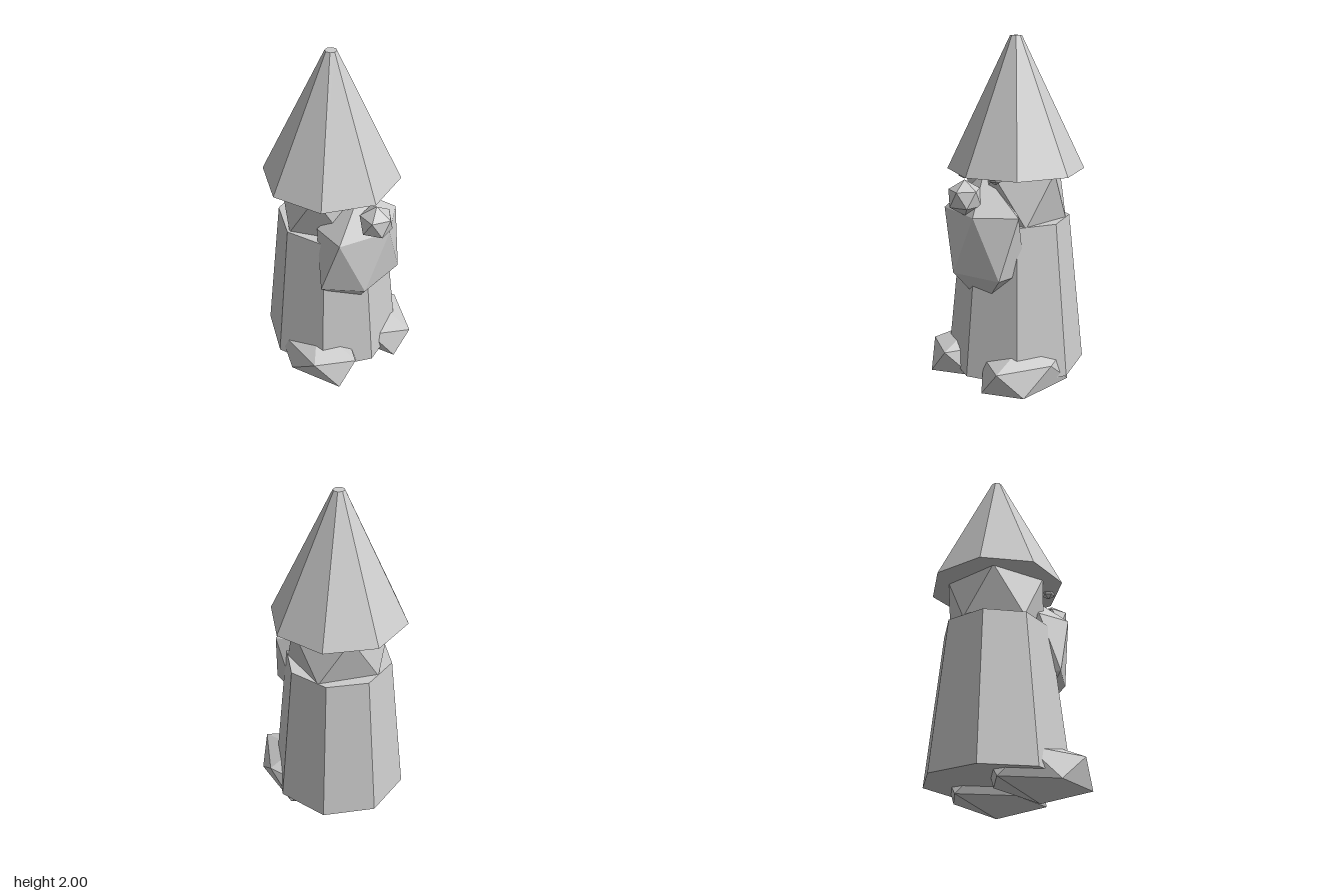
import * as THREE from 'three';

const stone = new THREE.MeshStandardMaterial({ color: 0xcccccc, flatShading: true });
stone.name = 'plain grey';

// Unit icosahedron standing on a point: two staggered rings of five between poles
function uprightIcosahedron() {
  const v = [0, 1, 0];
  const f = [];
  const ry = 1 / Math.sqrt(5), rr = 2 / Math.sqrt(5);
  for (const [y, offset] of [[ry, 0], [-ry, 0.5]]) {
    for (let k = 0; k < 5; k++) {
      const a = ((k + offset) * 2 * Math.PI) / 5;
      v.push(rr * Math.cos(a), y, rr * Math.sin(a));
    }
  }
  v.push(0, -1, 0);
  for (let k = 0; k < 5; k++) {
    const n = (k + 1) % 5;
    const u0 = 1 + k, u1 = 1 + n, l0 = 6 + k, l1 = 6 + n;
    f.push(0, u1, u0, u0, u1, l0, l0, u1, l1, 11, l0, l1);
  }
  return new THREE.PolyhedronGeometry(v, f, 1, 0);
}

export function createModel() {
  const model = new THREE.Group();
  model.name = 'gnome';

  function add(name, geometry, x, y, z) {
    const mesh = new THREE.Mesh(geometry, stone);
    mesh.name = name;
    mesh.position.set(x, y, z);
    model.add(mesh);
  }
  const lump = (name, pos, size) =>
    add(name, uprightIcosahedron().scale(...size), ...pos);
  const cone = (name, top, bottom, y0, y1) =>
    add(name, new THREE.CylinderGeometry(top, bottom, y1 - y0, 8), 0, (y0 + y1) / 2, -0.037);

  // Robe and pointed hat, both eight-sided
  cone('robe', 0.306, 0.398, 0.13, 1.0);
  cone('hat', 0.032, 0.385, 1.27, 2.0);

  // Head and face
  lump('head', [0, 1.135, -0.037], [0.325, 0.325, 0.312]);
  lump('beard', [0, 0.9, 0.213], [0.294, 0.38, 0.19]);
  lump('nose', [0, 1.165, 0.354], [0.099, 0.099, 0.099]);

  // Paired eyes and boots
  for (const [side, s] of [['left', 1], ['right', -1]]) {
    lump(side + 'Eye', [s * 0.122, 1.272, 0.245], [0.038, 0.038, 0.038]);
    lump(side + 'Boot', [s * 0.21, 0.162, 0.097], [0.2145, 0.162, 0.345]);
  }
  return model;
}
